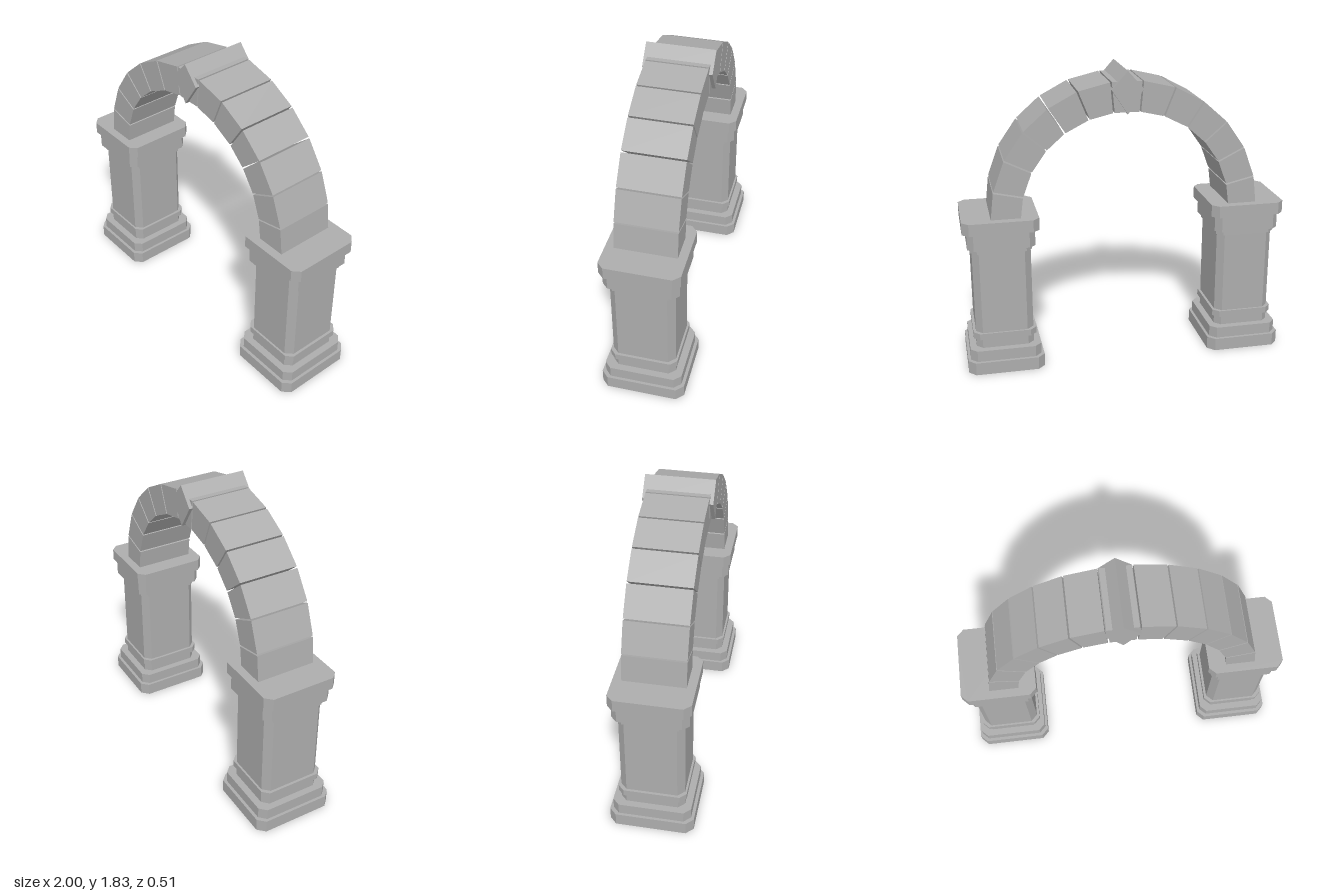
import * as THREE from 'three';

export function createModel() {
  const model = new THREE.Group();
  model.name = 'stoneArch';
  const stone = new THREE.MeshStandardMaterial({ color: 0xadadad });
  stone.name = 'grey stone';

  const add = (parent, geometry, name) => {
    const mesh = new THREE.Mesh(geometry, stone);
    mesh.name = name;
    parent.add(mesh);
    return mesh;
  };

  // Polygon in x/y extruded to a depth, centred on z
  const prism = (points, depth) => {
    const shape = new THREE.Shape(points.map(([x, y]) => new THREE.Vector2(x, y)));
    return new THREE.ExtrudeGeometry(shape, { depth, bevelEnabled: false })
      .translate(0, 0, -depth / 2);
  };

  // Rectangular slab with cut corners, standing from y0 to y1
  const slab = (w, d, cut, y0, y1) => prism([
    [w, -d + cut], [w, d - cut], [w - cut, d], [-w + cut, d],
    [-w, d - cut], [-w, -d + cut], [-w + cut, -d], [w - cut, -d],
  ], y1 - y0).rotateX(-Math.PI / 2).translate(0, (y0 + y1) / 2, 0);

  // Pillars: name, half width, half depth, corner cut, bottom, top
  const courses = [
    ['plinth', 0.235, 0.254, 0.043, 0, 0.08],
    ['plinthStep', 0.218, 0.235, 0.04, 0.08, 0.15],
    ['shaftFoot', 0.177, 0.192, 0.037, 0.15, 0.21],
    ['lowerBand', 0.193, 0.204, 0.037, 0.21, 0.25],
    ['shaft', 0.177, 0.192, 0.04, 0.25, 0.77],
    ['upperBand', 0.185, 0.2, 0.037, 0.77, 0.795],
    ['neck', 0.177, 0.192, 0.037, 0.795, 0.805],
    ['capitalStep', 0.203, 0.222, 0.037, 0.8, 0.9],
    ['capital', 0.23, 0.236, 0.04, 0.9, 0.975],
  ];
  for (const side of [-1, 1]) {
    const pillar = new THREE.Group();
    pillar.name = side > 0 ? 'leftPillar' : 'rightPillar';
    pillar.position.x = side * 0.764;
    for (const [name, ...size] of courses) add(pillar, slab(...size), name);
    model.add(pillar);
  }

  // Joints of the arch on one half: outer x, y, inner x, y
  const half = [
    [0.82, 0.972, 0.642, 0.972], [0.8, 1.142, 0.625, 1.102],
    [0.73, 1.33, 0.57, 1.25], [0.615, 1.495, 0.48, 1.378],
    [0.468, 1.625, 0.37, 1.475], [0.293, 1.718, 0.225, 1.549],
    [0.096, 1.765, 0.079, 1.583],
  ];
  const joints = [...half, ...half.map(([a, b, c, d]) => [-a, b, -c, d]).reverse()];

  // Pull the ends of a block in from its joints to leave thin gaps
  const inset = (a, b, gap) => {
    const t = gap / Math.hypot(b[0] - a[0], b[1] - a[1]);
    return [a[0] + (b[0] - a[0]) * t, a[1] + (b[1] - a[1]) * t];
  };
  const arch = new THREE.Group();
  arch.name = 'arch';
  for (let i = 0; i < joints.length - 1; i++) {
    const [o0, i0] = [joints[i].slice(0, 2), joints[i].slice(2)];
    const [o1, i1] = [joints[i + 1].slice(0, 2), joints[i + 1].slice(2)];
    const g0 = i === 0 ? 0 : 0.005;
    const g1 = i === joints.length - 2 ? 0 : 0.005;
    add(arch, prism([
      inset(i0, i1, g0), inset(o0, o1, g0), inset(o1, o0, g1), inset(i1, i0, g1),
    ], 0.368), 'archStone');
  }
  model.add(arch);

  // Diamond keystone
  add(model, prism([[0, 1.575], [0.096, 1.722], [0, 1.83], [-0.096, 1.722]], 0.41), 'keystone');

  return model;
}
